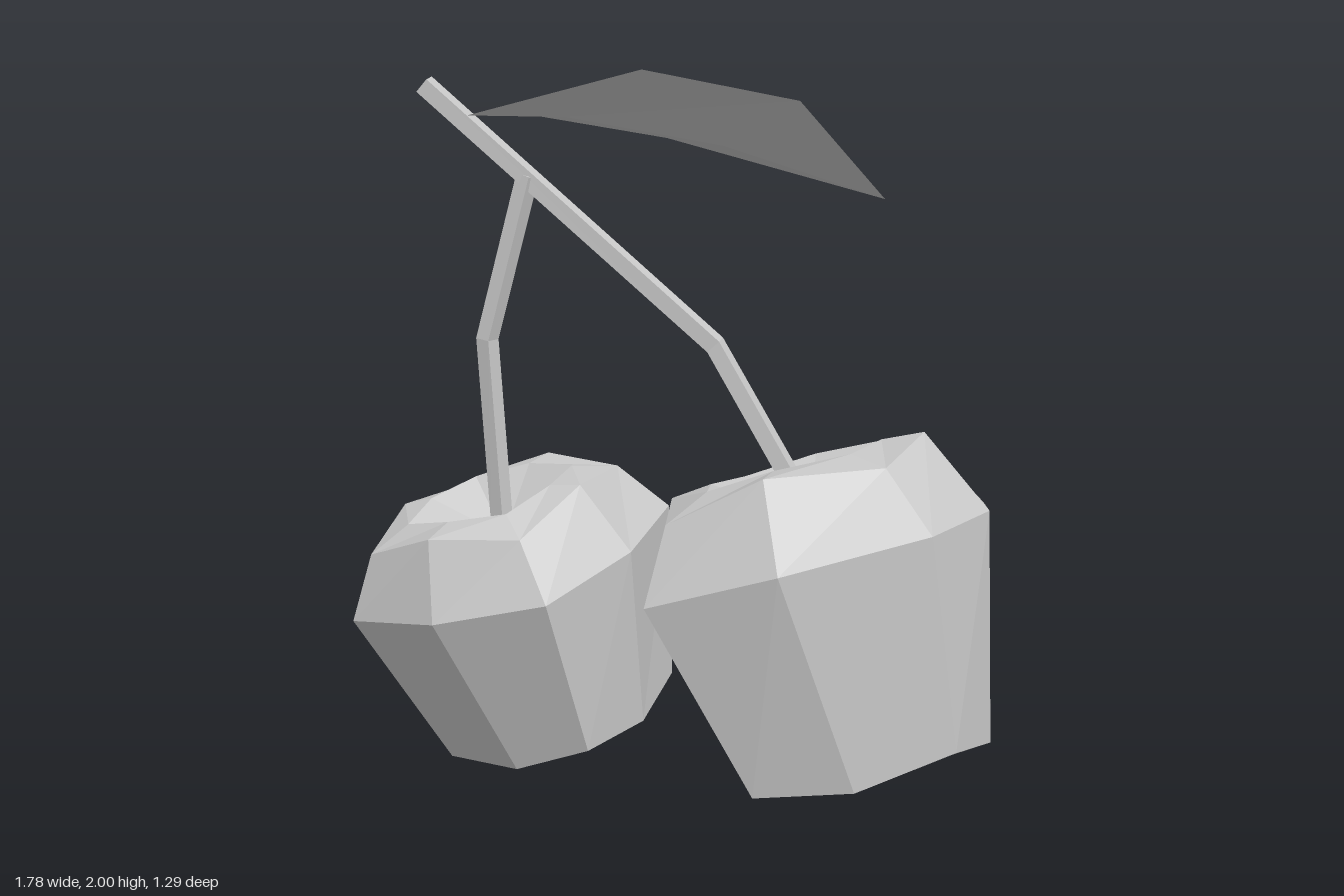
import * as THREE from 'three';

const V = (x, y, z) => new THREE.Vector3(x, y, z);

// Faceted skin over a list of equally long point rows
function loft(rows, closed) {
  const pos = [];
  const tri = (...p) => {
    if (p[0].equals(p[1]) || p[1].equals(p[2]) || p[0].equals(p[2])) return;
    p.forEach(q => pos.push(q.x, q.y, q.z));
  };
  const n = rows[0].length;
  for (let i = 0; i < rows.length - 1; i++) {
    for (let k = 0; k < (closed ? n : n - 1); k++) {
      const a = rows[i][k], b = rows[i][(k + 1) % n];
      const d = rows[i + 1][k], c = rows[i + 1][(k + 1) % n];
      tri(a, d, b);
      tri(d, c, b);
    }
  }
  const geo = new THREE.BufferGeometry();
  geo.setAttribute('position', new THREE.Float32BufferAttribute(pos, 3));
  geo.computeVertexNormals();
  return geo;
}

function mesh(name, geo, side = THREE.FrontSide) {
  const m = new THREE.Mesh(geo, new THREE.MeshStandardMaterial({ color: 0xcccccc, flatShading: true, side }));
  m.name = name;
  return m;
}

// Rounded-square ring of eight points: corners at +-c, side middles at m
function ring(c, m, yCorner, yMid) {
  return Array.from({ length: 8 }, (_, k) => {
    const a = k * Math.PI / 4, corner = k % 2 === 1;
    const r = corner ? c * Math.SQRT2 : m;
    return V(r * Math.cos(a), corner ? yCorner : yMid, r * Math.sin(a));
  });
}

// Fruit: bulged base, wide shoulder, narrow rim and a sunken dimple
function cherryGeometry() {
  return loft([
    ring(0, 0, -0.64, -0.64),
    ring(0.285, 0.32, -0.57, -0.61),
    ring(0.4, 0.485, 0, 0),
    ring(0.31, 0.37, 0.195, 0.25),
    ring(0.205, 0.25, 0.25, 0.26),
    ring(0, 0, 0.1, 0.1),
  ], true);
}

function cherry(name, center, xDir, zDir, scale) {
  const x = xDir.normalize();
  const y = zDir.clone().cross(x).normalize();
  const z = x.clone().cross(y);
  const m = mesh(name, cherryGeometry());
  m.quaternion.setFromRotationMatrix(new THREE.Matrix4().makeBasis(x, y, z));
  m.position.copy(center);
  m.scale.setScalar(scale);
  return m;
}

// Bent square stalk along a path, with closed ends
function stem(name, path, half, twist) {
  const rows = path.map((p, i) => {
    const before = path[Math.max(i - 1, 0)], after = path[Math.min(i + 1, path.length - 1)];
    const t = after.clone().sub(before).normalize();
    const u = t.clone().cross(V(0, 0, 1)).normalize();
    const v = u.clone().cross(t);
    return [0, 1, 2, 3].map(k => {
      const a = twist + Math.PI / 4 + k * Math.PI / 2, r = half * Math.SQRT2;
      return p.clone().addScaledVector(u, r * Math.cos(a)).addScaledVector(v, r * Math.sin(a));
    });
  });
  const cap = p => [p, p, p, p];
  return mesh(name, loft([cap(path[0]), ...rows, cap(path[path.length - 1])], true));
}

// Leaf folded gently along its midrib
function leaf() {
  const base = V(-0.59, 1.85, 0.21), tip = V(0.4, 1.53, -0.62);
  const frontEdge = [base, V(-0.07, 2.0, 0.29), V(0.28, 1.89, -0.03), tip];
  const midrib = [base, V(-0.37, 1.83, 0.03), V(0, 1.72, -0.28), tip];
  const backEdge = [base, V(-0.66, 1.78, -0.37), V(-0.28, 1.68, -0.65), tip];
  return mesh('leaf', loft([frontEdge, midrib, backEdge], false), THREE.DoubleSide);
}

export function createModel() {
  const group = new THREE.Group();
  group.name = 'cherryPair';
  group.add(
    cherry('leftCherry', V(0.395, 0.675, 0.16), V(0.949, 0.316, -0.05), V(0, 0.17, 0.985), 1),
    cherry('rightCherry', V(-0.495, 0.575, 0.18), V(0.935, 0.237, 0.252), V(-0.231, -0.155, 0.967), 0.845),
    stem('leftStem', [V(0.36, 0.78, 0.135), V(0.085, 1.235, 0.125), V(-0.715, 1.93, 0.205)], 0.023, 0),
    stem('rightStem', [V(-0.52, 0.66, 0.19), V(-0.55, 1.23, 0.2), V(-0.43, 1.69, 0.18)], 0.022, 0.35),
    leaf(),
  );
  return group;
}
